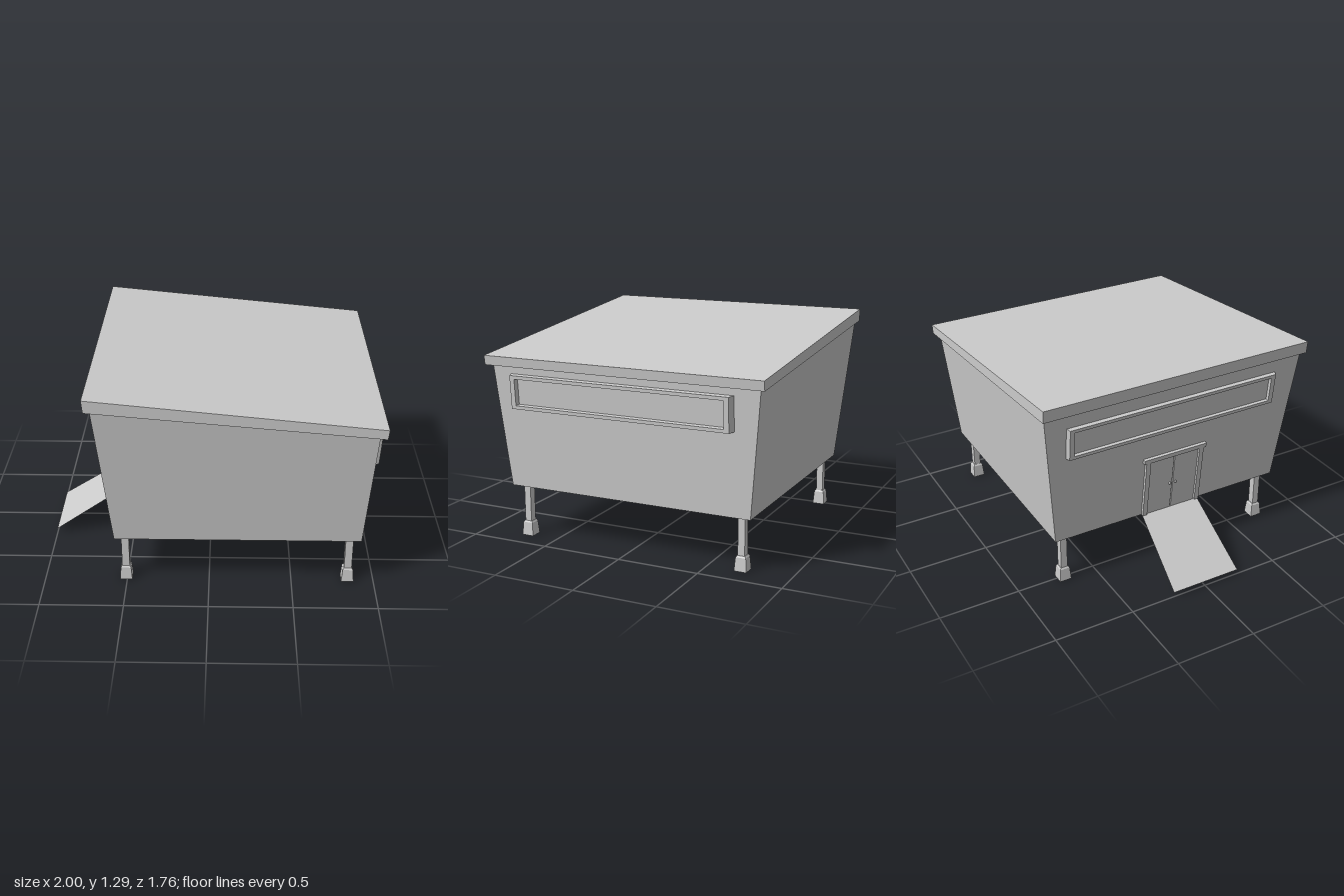
import * as THREE from 'three';

const material = new THREE.MeshStandardMaterial({ color: 0xcccccc, flatShading: true });
const thinMaterial = new THREE.MeshStandardMaterial({ color: 0xcccccc, side: THREE.DoubleSide });

function addMesh(parent, name, geometry, mat = material) {
  const mesh = new THREE.Mesh(geometry, mat);
  mesh.name = name;
  parent.add(mesh);
  return mesh;
}

// Moves every vertex of a geometry by a rule
function warp(geometry, rule) {
  const p = geometry.attributes.position;
  for (let i = 0; i < p.count; i++) p.setXYZ(i, ...rule(p.getX(i), p.getY(i), p.getZ(i)));
  geometry.computeVertexNormals();
  return geometry;
}

function addBox(parent, name, w, h, d, x, y, z) {
  return addMesh(parent, name, new THREE.BoxGeometry(w, h, d).translate(x, y, z));
}

// Square block with different bottom and top widths
function taperedBlock(bottom, top, y0, y1) {
  return warp(new THREE.BoxGeometry(1, 1, 1), (x, y, z) => {
    const w = y < 0 ? bottom : top;
    return [x * w, y < 0 ? y0 : y1, z * w];
  });
}

// Group lying on a leaning side wall: local +z points out, origin at height y
function wallGroup(name, side, y, inset = 0) {
  const slope = side > 0 ? 0.067 : 0.101;
  const base = side > 0 ? 0.905 : 0.565;
  const group = new THREE.Group();
  group.name = name;
  group.position.set(side * (base + slope * (y - 0.32) - inset), y, 0);
  group.rotation.order = 'YXZ';
  group.rotation.set(Math.atan(slope), side * Math.PI / 2, 0);
  return group;
}

function rectPath(path, x0, x1, y0, y1) {
  path.moveTo(x0, y0);
  path.lineTo(x1, y0);
  path.lineTo(x1, y1);
  path.lineTo(x0, y1);
  path.closePath();
  return path;
}

// Long window: frame with inward-leaning ends around a recessed pane
function makeWindow(name, side, y, inset) {
  const group = wallGroup(name, side, y, inset);
  const shape = rectPath(new THREE.Shape(), -0.725, 0.69, -0.101, 0.101);
  shape.holes.push(rectPath(new THREE.Path(), -0.68, 0.645, -0.08, 0.08));
  const frame = new THREE.ExtrudeGeometry(shape, { depth: 0.04, bevelEnabled: false });
  warp(frame, (x, py, z) => [z > 0.02 && Math.abs(x) > 0.685 ? x - Math.sign(x) * 0.015 : x, py, z]);
  addMesh(group, 'windowFrame', frame);
  addBox(group, 'windowPane', 1.335, 0.17, 0.01, -0.0175, 0, inset);
  return group;
}

// Double door with jambs, lintel and knobs
function makeDoor() {
  const group = wallGroup('door', -1, 0.32);
  for (const s of [-1, 1]) {
    addBox(group, 'doorJamb', 0.03, 0.4, 0.03, 0.008 + s * 0.185, 0.2, 0.003);
    addBox(group, 'doorLeaf', 0.164, 0.39, 0.016, 0.008 + s * 0.085, 0.195, 0);
    const knob = new THREE.SphereGeometry(0.008, 10, 8);
    addMesh(group, 'doorKnob', knob).position.set(0.008 + s * 0.02, 0.19, 0.012);
  }
  addBox(group, 'doorLintel', 0.43, 0.028, 0.034, 0.008, 0.409, 0.003);
  return group;
}

export function createModel() {
  const model = new THREE.Group();
  model.name = 'raisedHut';

  // Walls flare outward and meet the sloping roof
  const body = warp(new THREE.BoxGeometry(1, 1, 1), (x, y, z) => {
    const right = x > 0;
    if (y < 0) return [right ? 0.905 : -0.565, 0.32, Math.sign(z) * 0.775];
    return right ? [0.955, 1.072, Math.sign(z) * 0.847] : [-0.655, 1.215, Math.sign(z) * 0.861];
  });
  addMesh(model, 'body', body);

  // Single-pitch roof slab
  const roof = warp(new THREE.BoxGeometry(1, 1, 1), (x, y, z) => {
    const [px, py] = x > 0
      ? (y > 0 ? [0.997, 1.122] : [0.99, 1.065])
      : (y > 0 ? [-0.695, 1.288] : [-0.688, 1.212]);
    return [px, py, Math.sign(z) * 0.88];
  });
  addMesh(model, 'roof', roof);

  // Legs with tapered feet
  for (const x of [-0.506, 0.842]) {
    for (const z of [-0.706, 0.7]) {
      const leg = new THREE.Group();
      leg.name = 'leg';
      leg.position.set(x, 0, z);
      addBox(leg, 'post', 0.046, 0.27, 0.042, 0, 0.19, 0);
      addMesh(leg, 'foot', taperedBlock(0.075, 0.062, 0, 0.08));
      addMesh(leg, 'footBevel', taperedBlock(0.062, 0.048, 0.08, 0.09));
      model.add(leg);
    }
  }

  model.add(makeWindow('rightWindow', 1, 0.917, 0));
  model.add(makeWindow('leftWindow', -1, 1.013, 0.013));
  model.add(makeDoor());

  // Thin ramp widening toward the ground
  const ramp = warp(new THREE.PlaneGeometry(1, 1), (x, y) => {
    const [px, py, half] = y > 0 ? [-0.565, 0.322, 0.198] : [-1, 0.03, 0.226];
    return [px, py, 0.008 + Math.sign(x) * half];
  });
  addMesh(model, 'ramp', ramp, thinMaterial);

  return model;
}
